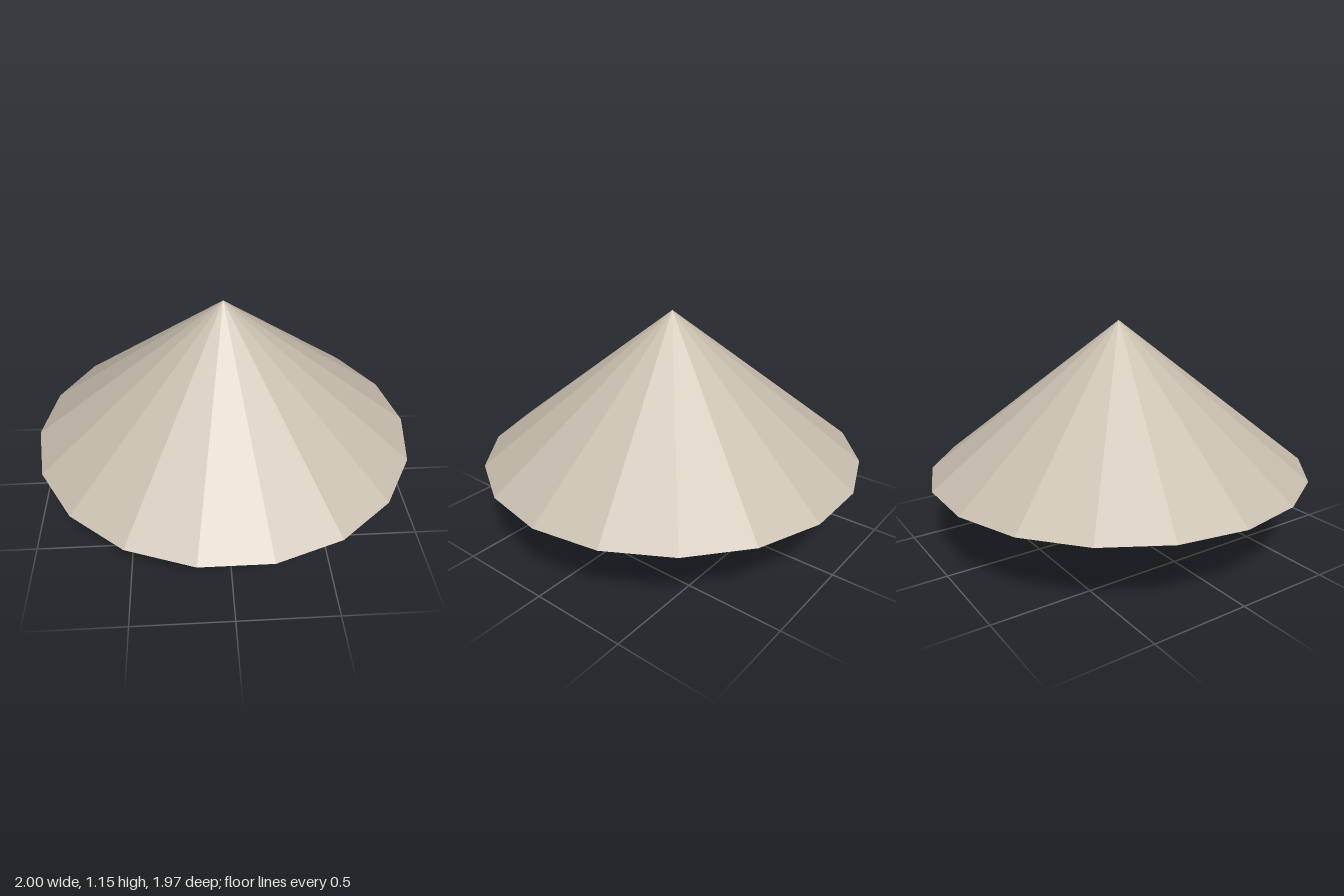
import * as THREE from 'three';

export function createModel() {
  const model = new THREE.Group();

  const addPart = (name, geometry, color, y) => {
    const material = new THREE.MeshStandardMaterial({ color, flatShading: true });
    const mesh = new THREE.Mesh(geometry, material);
    mesh.name = name;
    mesh.position.y = y;
    model.add(mesh);
    return mesh;
  };

  // Closed 18-sided conical shade, with corners on the x axis
  const baseY = 0.375, height = 0.78;
  const shade = new THREE.ConeGeometry(1, height, 18).rotateY(Math.PI / 2);
  addPart('shade', shade, 0xc8beaf, baseY + height / 2);

  // Flattened low-poly globe, its top tucked up into the shade
  const globeHalf = 0.223;
  const globe = new THREE.SphereGeometry(0.357, 12, 9);
  globe.scale(1, globeHalf / 0.357, 1);
  addPart('globe', globe, 0xcdb46e, globeHalf);

  return model;
}
